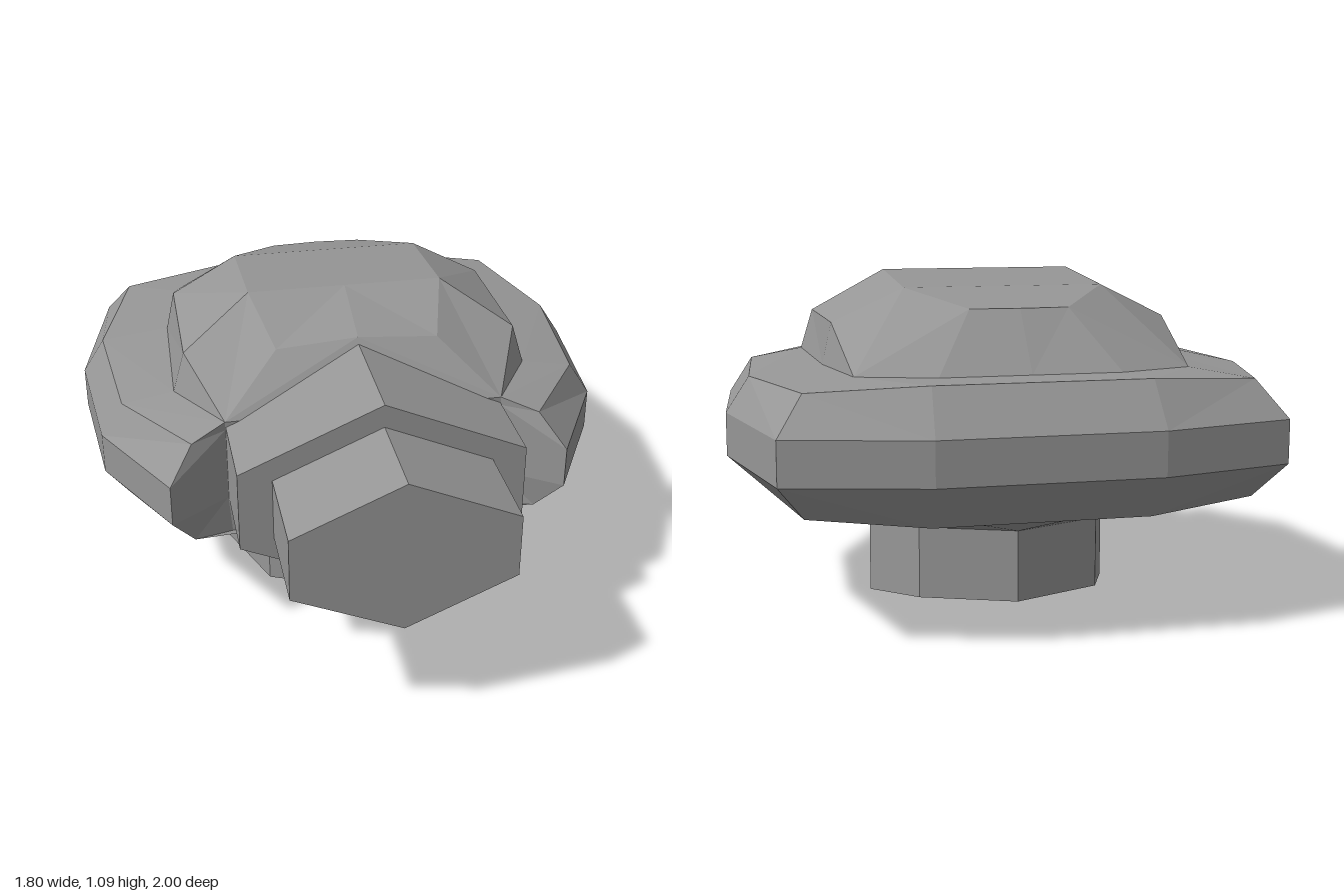
import * as THREE from 'three';

const material = new THREE.MeshStandardMaterial({
  color: 0x969696, flatShading: true, side: THREE.DoubleSide,
});

// Skins a stack of rings, bottom to top. Each ring is a half outline of
// [x, z, y] points from front centre to back centre, mirrored to the other side.
function loft(name, halfRings) {
  const rings = halfRings.map((half) => {
    const pts = half.map(([x, z, y]) => new THREE.Vector3(x, y, z));
    const mirrored = pts.slice(1, -1).reverse().map((p) => new THREE.Vector3(-p.x, p.y, p.z));
    return [...pts, ...mirrored];
  });
  const tris = [];
  const addTriangle = (a, b, c) => {
    if (new THREE.Triangle(a, b, c).getArea() > 1e-6) tris.push(a, b, c);
  };
  for (let r = 0; r < rings.length - 1; r++) {
    const low = rings[r], high = rings[r + 1], n = low.length;
    for (let i = 0; i < n; i++) {
      const j = (i + 1) % n;
      // The diagonals mirror from one side to the other
      if (i < n / 2) {
        addTriangle(low[i], low[j], high[i]);
        addTriangle(low[j], high[j], high[i]);
      } else {
        addTriangle(low[i], low[j], high[j]);
        addTriangle(low[i], high[j], high[i]);
      }
    }
  }
  const geometry = new THREE.BufferGeometry().setFromPoints(tris);
  geometry.computeVertexNormals();
  const mesh = new THREE.Mesh(geometry, material);
  mesh.name = name;
  return mesh;
}

// Six-sided prism along z with pointed top and bottom
function hexPrism(name, halfWidth, top, shoulder, hip, bottom, zBack, zFront) {
  const shape = new THREE.Shape([
    [0, bottom], [halfWidth, hip], [halfWidth, shoulder],
    [0, top], [-halfWidth, shoulder], [-halfWidth, hip],
  ].map(([x, y]) => new THREE.Vector2(x, y)));
  const geometry = new THREE.ExtrudeGeometry(shape, { depth: zFront - zBack, bevelEnabled: false });
  geometry.translate(0, 0, zBack);
  const mesh = new THREE.Mesh(geometry, material);
  mesh.name = name;
  return mesh;
}

export function createModel() {
  const group = new THREE.Group();
  group.name = 'turret';

  // Octagonal neck, open underneath, with its rear edge raised
  const neckPlan = [[0, 0.25], [0, 0.25], [0.3, 0.12], [0.3, 0.12],
    [0.415, -0.18], [0.3, -0.48], [0.3, -0.48], [0, -0.6]];
  const neckBottom = neckPlan.map(([x, z], i) => [x, z, i > 4 ? 0.05 : 0]);
  const neckTop = neckPlan.map(([x, z], i) => [x, z, i > 4 ? 0.285 : 0.24]);
  group.add(loft('neck', [neckBottom, neckTop]));

  // Hull: underside flare, bulging side band and sloping deck
  const flare = [[0, 0.37], [0.37, 0.37], [0.37, 0.37], [0.435, 0.085],
    [0.5, -0.2], [0.4, -0.6], [0.3, -0.76], [0, -0.76]].map(([x, z]) => [x, z, 0.38]);
  const lowerEdge = [[0, 0.37, 0.385], [0.45, 0.37, 0.39], [0.58, 0.43, 0.41], [0.78, 0.13, 0.435],
    [0.825, -0.36, 0.46], [0.705, -0.81, 0.41], [0.34, -0.9, 0.385], [0, -0.9, 0.385]];
  const bandPlan = [[0, 0.37], [0.46, 0.37], [0.655, 0.505], [0.855, 0.13],
    [0.9, -0.36], [0.79, -0.89], [0.35, -1], [0, -1]];
  const band = (y) => bandPlan.map(([x, z]) => [x, z, y]);
  const upperEdge = [[0, 0.37, 0.78], [0.46, 0.37, 0.78], [0.575, 0.43, 0.775], [0.78, 0.13, 0.78],
    [0.825, -0.36, 0.78], [0.705, -0.81, 0.785], [0.34, -0.9, 0.808], [0, -0.9, 0.808]];
  const domeBase = [[0, 0.37, 0.81], [0.46, 0.37, 0.81], [0.46, 0.37, 0.81], [0.605, 0.13, 0.81],
    [0.59, -0.36, 0.81], [0.535, -0.68, 0.81], [0.29, -0.76, 0.81], [0, -0.76, 0.81]];
  group.add(loft('hull', [neckTop, flare, lowerEdge, band(0.525), band(0.665), upperEdge, domeBase]));

  // Faceted dome on the deck
  const domeShoulder = [[0, 0.24, 1.01], [0.27, 0.23, 0.985], [0.46, 0.37, 0.81], [0.565, 0.12, 0.945],
    [0.56, -0.36, 0.945], [0.535, -0.68, 0.81], [0.29, -0.76, 0.81], [0, -0.76, 0.81]];
  const frontCorner = [0.33, 0, 1.09];
  const domeTop = [[0, 0, 1.09], frontCorner, frontCorner, frontCorner,
    [0.33, -0.4, 1.055], [0.16, -0.6, 1], [0.16, -0.6, 1], [0, -0.61, 1]];
  const ridge = domeTop.map(([, z, y]) => [0, z, y]);
  group.add(loft('dome', [domeBase, domeShoulder, domeTop, ridge]));

  // Stepped hexagonal mount and barrel stub at the front
  group.add(hexPrism('gunMount', 0.458, 0.99, 0.79, 0.52, 0.317, 0.12, 0.67));
  group.add(hexPrism('gunStub', 0.35, 0.913, 0.76, 0.55, 0.397, 0.6, 1));

  return group;
}
